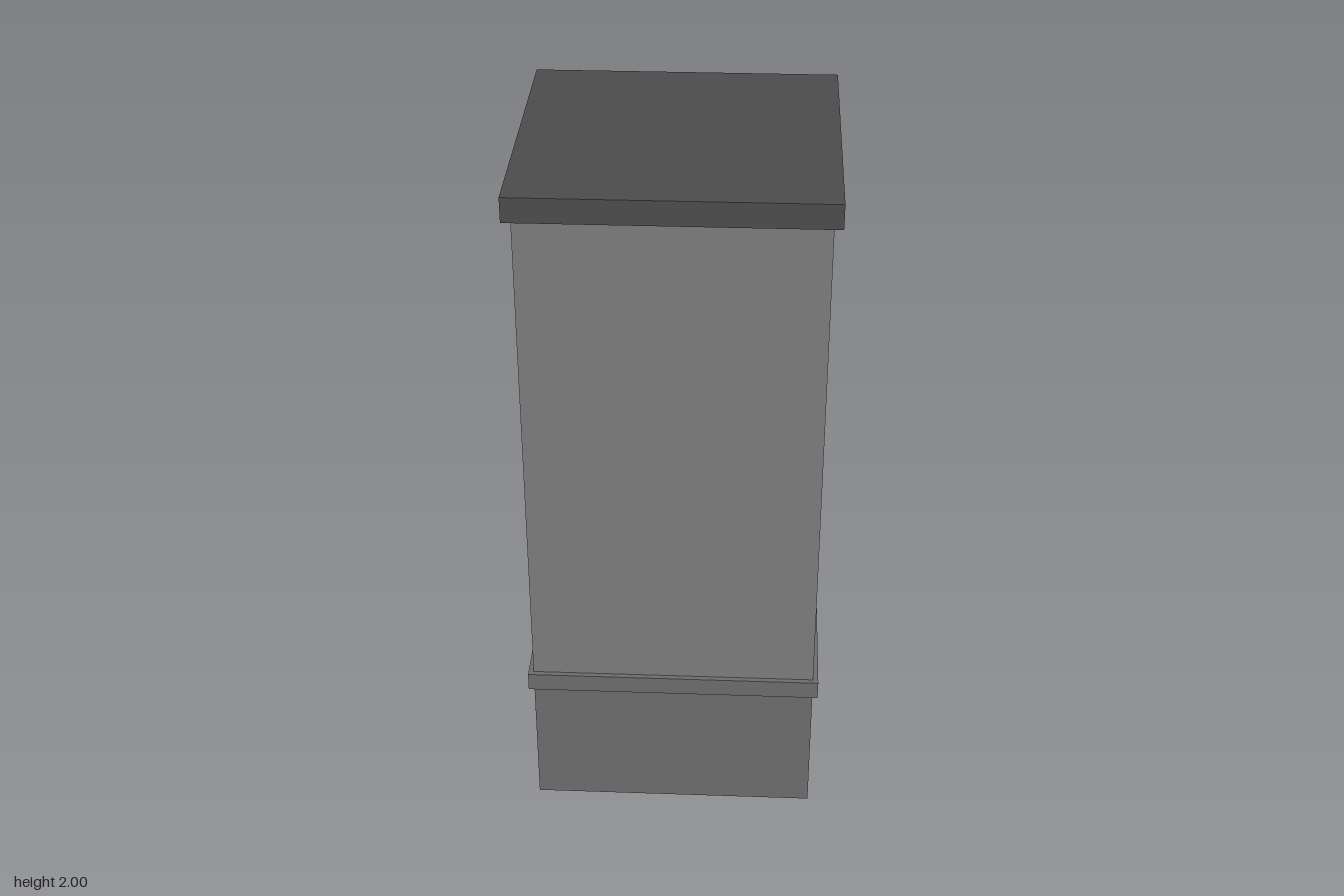
import * as THREE from 'three';

export function createModel() {
  const group = new THREE.Group();

  // Square block spanning a height range, centred on the vertical axis
  const block = (name, width, bottom, top, color) => {
    const mesh = new THREE.Mesh(
      new THREE.BoxGeometry(width, top - bottom, width),
      new THREE.MeshStandardMaterial({ color })
    );
    mesh.name = name;
    mesh.position.y = (bottom + top) / 2;
    group.add(mesh);
  };

  block('base', 0.82, 0, 0.41, 0x6c6c6c);
  block('trimBand', 0.85, 0.41, 0.465, 0x6c6c6c);
  block('shaft', 0.82, 0.465, 1.93, 0x7c7c7c);
  block('capSlab', 0.866, 1.93, 2, 0x4c4c4c);

  return group;
}
